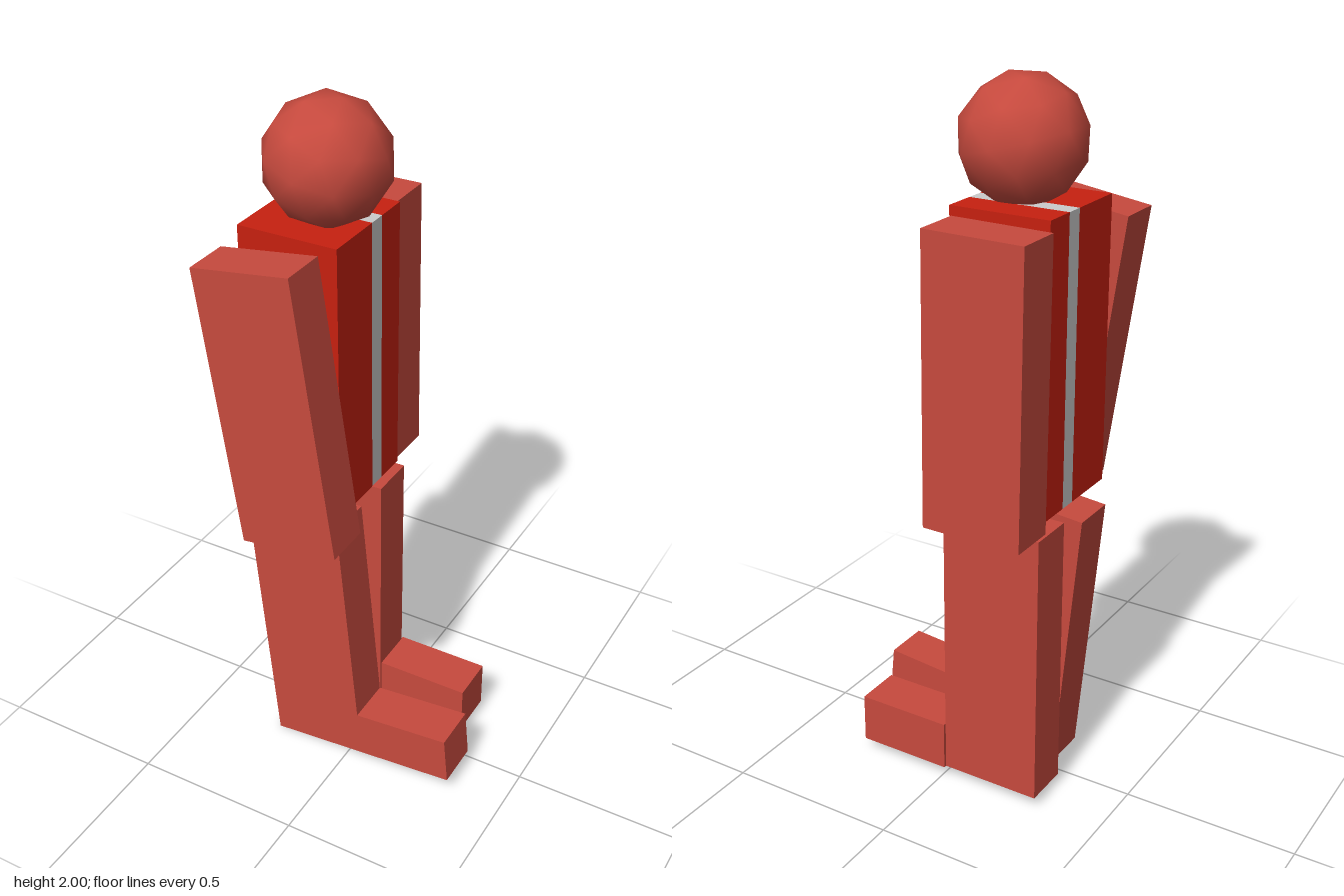
import * as THREE from 'three';

const skin = new THREE.MeshStandardMaterial({ color: 0xc74a3e });
const shirt = new THREE.MeshStandardMaterial({ color: 0xc72010 });
const grey = new THREE.MeshStandardMaterial({ color: 0xcccccc });

// Box centred at x, y and spanning z0 to z1
function block(name, material, w, h, z0, z1, x, y) {
  const mesh = new THREE.Mesh(new THREE.BoxGeometry(w, h, z1 - z0), material);
  mesh.name = name;
  mesh.position.set(x, y, (z0 + z1) / 2);
  return mesh;
}

// Limb group that swings in the xy plane about its centre
function limb(name, x, y, degrees, ...parts) {
  const group = new THREE.Group();
  group.name = name;
  group.position.set(x, y, 0);
  group.rotation.z = THREE.MathUtils.degToRad(degrees);
  group.add(...parts);
  return group;
}

export function createModel() {
  const model = new THREE.Group();
  model.name = 'blockFigure';

  // Torso: two red panels either side of a grey stripe running right through
  const panels = [
    ['torsoWidePanel', shirt, -0.01, 0.165],
    ['torsoStripe', grey, -0.062, -0.01],
    ['torsoNarrowPanel', shirt, -0.157, -0.062],
  ];
  for (const [name, material, z0, z1] of panels) {
    model.add(block(name, material, 0.29, 0.806, z0, z1, -0.155, 1.282));
  }

  // Head: coarse smooth-shaded ball
  const head = new THREE.Mesh(new THREE.IcosahedronGeometry(0.173, 1), skin);
  head.name = 'head';
  head.position.set(-0.129, 1.834, 0.003);
  head.rotation.z = THREE.MathUtils.degToRad(-46.7);
  model.add(head);

  // Arms, one swung forward
  model.add(
    limb('nearArm', -0.138, 1.247, 8.2, block('nearArmBlock', skin, 0.29, 0.805, 0.185, 0.322, 0, 0)),
    limb('farArm', -0.177, 1.265, 0.45, block('farArmBlock', skin, 0.29, 0.803, -0.325, -0.187, 0, 0)),
  );

  // Legs with feet pointing along +x
  model.add(
    limb('nearLeg', -0.131, 0.415, 5.3,
      block('nearLegBlock', skin, 0.29, 0.805, 0.028, 0.166, 0, 0),
      block('nearFoot', skin, 0.29, 0.145, 0.028, 0.166, 0.29, -0.33)),
    limb('farLeg', -0.157, 0.436, 0,
      block('farLegBlock', skin, 0.295, 0.805, -0.197, -0.06, 0, 0),
      block('farFoot', skin, 0.28, 0.145, -0.206, -0.067, 0.287, -0.33)),
  );

  return model;
}
